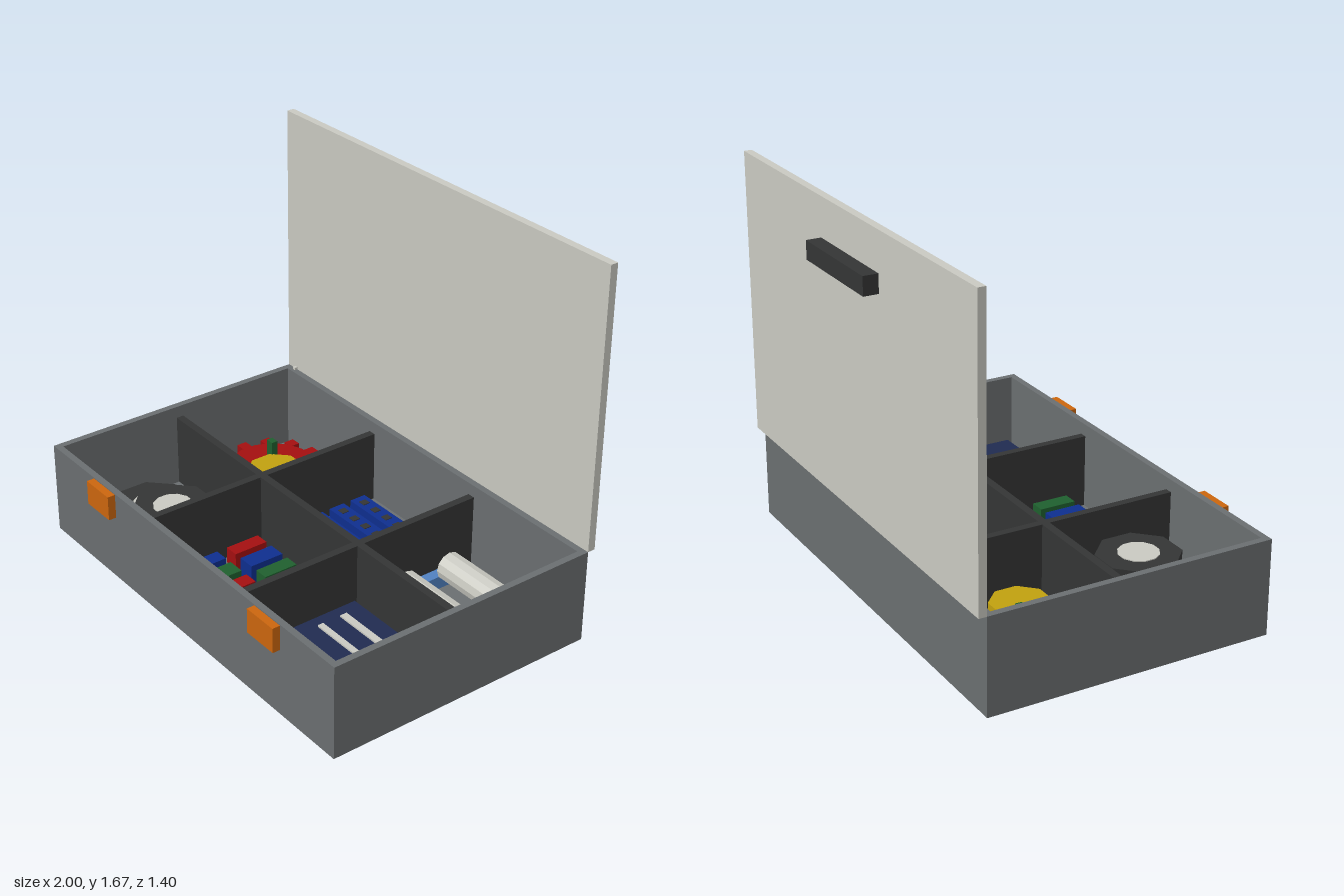
import * as THREE from 'three';

const mat = (name, color) => Object.assign(new THREE.MeshStandardMaterial({ color }), { name });

export function createModel() {
  const M = {
    grey: mat('case grey', 0x6a6e70),
    dark: mat('near black', 0x343535),
    light: mat('light grey', 0xc9c9c1),
    orange: mat('orange', 0xcb660e),
    red: mat('red', 0xa30f10),
    yellow: mat('yellow', 0xc0a00f),
    blue: mat('blue', 0x0e2e8e),
    green: mat('green', 0x1f5f2e),
    navy: mat('navy', 0x202b50),
    sky: mat('light blue', 0x5080c0),
  };
  const root = new THREE.Group();
  root.name = 'partsCase';

  const add = (name, geo, m, parent = root) => {
    const mesh = new THREE.Mesh(geo, m);
    mesh.name = name;
    parent.add(mesh);
    return mesh;
  };
  // Box given by its limits on each axis
  const box = (name, m, x0, x1, y0, y1, z0, z1, parent) => {
    const g = new THREE.BoxGeometry(x1 - x0, y1 - y0, z1 - z0);
    g.translate((x0 + x1) / 2, (y0 + y1) / 2, (z0 + z1) / 2);
    return add(name, g, m, parent);
  };
  // Upright faceted disc
  const disc = (name, m, x, z, r, y0, y1, sides, parent) => {
    const g = new THREE.CylinderGeometry(r, r, y1 - y0, sides).toNonIndexed();
    g.rotateY(Math.PI / sides);
    g.computeVertexNormals();
    g.translate(x, (y0 + y1) / 2, z);
    return add(name, g, m, parent);
  };
  const group = (name) => {
    const g = new THREE.Group();
    g.name = name;
    root.add(g);
    return g;
  };
  const floor = 0.03;

  // Case: floor and four walls
  const tray = group('case');
  box('floor', M.grey, -1, 1, 0, floor, -0.6, 0.665, tray);
  box('backWall', M.grey, -1, 1, floor, 0.42, -0.6, -0.57, tray);
  box('frontWall', M.grey, -1, 1, floor, 0.42, 0.635, 0.665, tray);
  for (const s of [-1, 1]) {
    const c = s * 0.985;
    box('sideWall', M.grey, c - 0.015, c + 0.015, floor, 0.42, -0.57, 0.635, tray);
  }

  // Dividers
  for (const x of [-0.337, 0.333])
    box('crossDivider', M.dark, x - 0.017, x + 0.017, floor, 0.365, -0.57, 0.635);
  box('longDivider', M.dark, -0.97, 0.97, floor, 0.365, 0.015, 0.05);

  // Open lid, handle, hinge and latches
  box('lid', M.light, -1, 1, 0.42, 1.67, -0.635, -0.6);
  box('handle', M.dark, -0.25, 0.25, 1.42, 1.5, -0.7, -0.635);
  box('hingePin', M.light, -0.95, -0.935, 0.415, 0.432, -0.6, -0.585);
  for (const s of [-1, 1]) box('latch', M.orange, s * 0.583 - 0.083, s * 0.583 + 0.083, 0.305, 0.416, 0.665, 0.7);

  // Gears, back right compartment
  const gears = group('gears');
  disc('redGear', M.red, -0.71, -0.29, 0.2, floor, 0.12, 16, gears);
  for (let i = 0; i < 12; i++) {
    const a = (i * Math.PI) / 6;
    const x = -0.71 + 0.22 * Math.cos(a), z = -0.29 + 0.22 * Math.sin(a);
    box('gearTooth', M.red, x - 0.024, x + 0.024, floor, 0.12, z - 0.024, z + 0.024, gears);
  }
  box('gearAxle', M.green, -0.73, -0.69, 0.12, 0.25, -0.305, -0.275, gears);
  disc('yellowGear', M.yellow, -0.585, -0.22, 0.127, 0.12, 0.19, 8, gears);
  disc('smallYellowGear', M.yellow, -0.503, -0.44, 0.106, 0.12, 0.17, 8, gears);

  // Wheels, front right compartment
  const wheels = group('wheels');
  for (const [x, z, y0, y1] of [[-0.75, 0.33, floor, 0.13], [-0.535, 0.36, 0.13, 0.235]]) {
    disc('tyre', M.dark, x, z, 0.18, y0, y1, 8, wheels);
    disc('hub', M.light, x, z, 0.088, y0 - 0.004, y1 + 0.004, 12, wheels);
  }

  // Perforated beams, back middle compartment
  const beams = group('beams');
  for (const z of [-0.45, -0.333, -0.215, -0.097]) {
    box('beam', M.blue, -0.285, 0.28, floor, 0.095, z - 0.04, z + 0.04, beams);
    for (let i = -3; i <= 3; i++)
      box('beamHole', M.dark, i * 0.078 - 0.017, i * 0.078 + 0.017, 0.09, 0.098, z - 0.017, z + 0.017, beams);
  }
  for (const z of [-0.295, -0.195, -0.13])
    box('connectorPin', M.dark, 0.2, 0.32, 0.04, 0.07, z - 0.008, z + 0.008, beams);

  // Actuators and light blue strips, back left compartment
  const actuators = group('actuators');
  for (const z of [-0.388, -0.155]) {
    for (const [name, r, x0, x1] of [['actuatorBody', 0.065, 0.415, 0.83], ['actuatorRod', 0.048, 0.83, 0.915]]) {
      const g = new THREE.CylinderGeometry(r, r, x1 - x0, 12).toNonIndexed();
      g.rotateZ(Math.PI / 2);
      g.computeVertexNormals();
      g.translate((x0 + x1) / 2, 0.13, z);
      add(name, g, M.light, actuators);
    }
  }
  box('shortStrip', M.sky, 0.36, 0.41, floor, 0.09, -0.42, -0.125, actuators);
  box('longStrip', M.sky, 0.36, 0.915, floor, 0.09, -0.072, -0.022, actuators);

  // Bricks, front middle compartment
  const bricks = group('bricks');
  const columns = [[-0.25, -0.185], [-0.15, -0.07], [-0.035, 0.03], [0.065, 0.145], [0.18, 0.25]];
  const colours = [M.red, M.blue, M.green];
  columns.forEach(([x0, x1], i) => {
    box('brick', colours[i % 3], x0, x1, floor, 0.135, 0.12, 0.28, bricks);
    box('brick', colours[(i + 1) % 3], x0, x1, floor, 0.135, 0.33, 0.5, bricks);
  });

  // Booklet with pale bars, front left compartment
  const booklet = group('booklet');
  box('cover', M.navy, 0.375, 0.93, floor, 0.125, 0.08, 0.592, booklet);
  for (const [x0, x1, z0, z1] of [[0.43, 0.86, 0.165, 0.197], [0.43, 0.75, 0.283, 0.31], [0.583, 0.632, 0.4, 0.527]])
    box('coverBar', M.light, x0, x1, 0.125, 0.133, z0, z1, booklet);

  return root;
}
